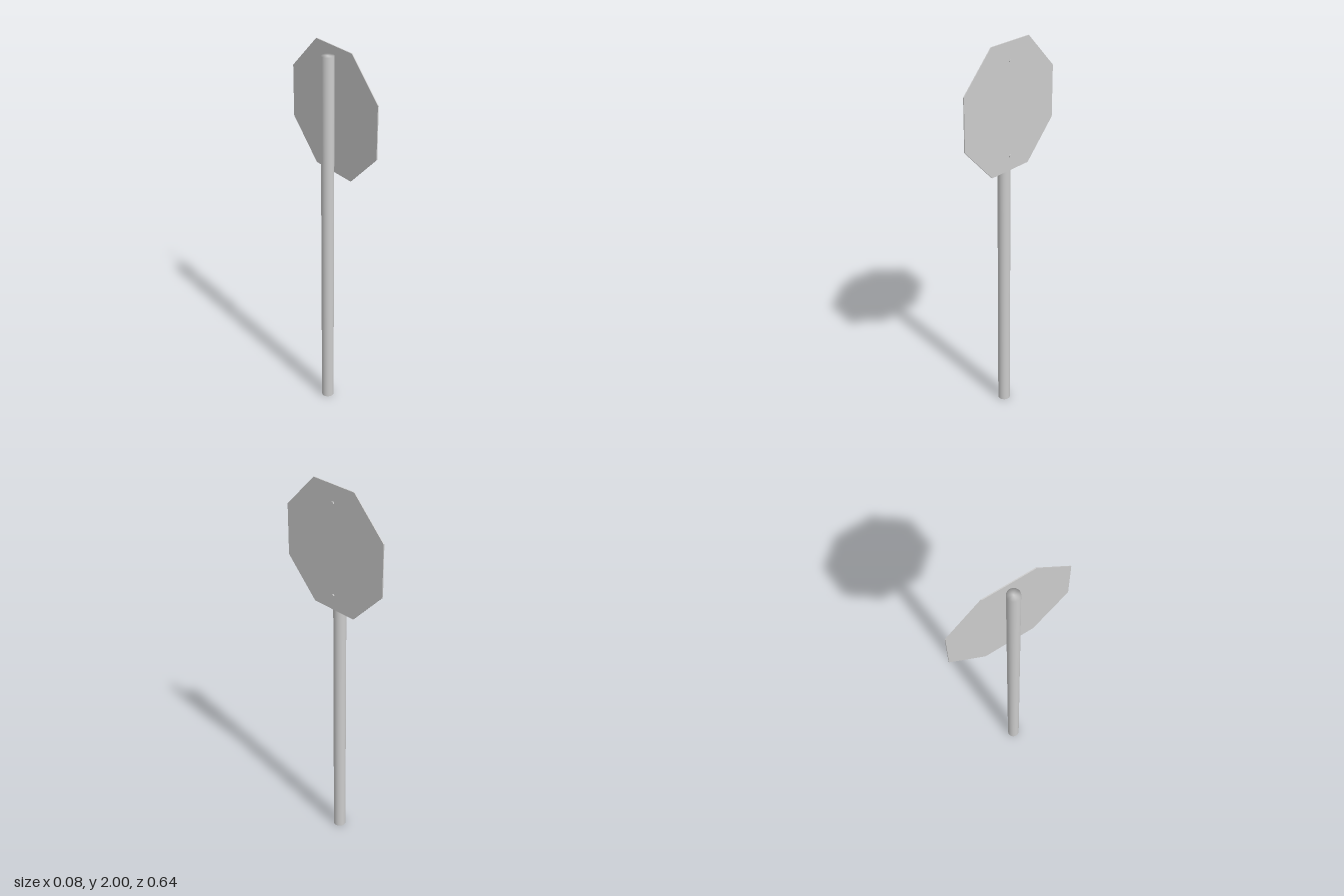
import * as THREE from 'three';
import { mergeVertices } from 'three/addons/utils/BufferGeometryUtils.js';

const material = new THREE.MeshStandardMaterial({ color: 0xcccccc });

function add(parent, name, geometry, x, y, z) {
  const mesh = new THREE.Mesh(geometry, material);
  mesh.name = name;
  mesh.position.set(x, y, z);
  parent.add(mesh);
  return mesh;
}

// Cylinder whose normals blend softly from the side into the end caps
function softCylinder(radius, height, sides) {
  const g = new THREE.CylinderGeometry(radius, radius, height, sides);
  g.deleteAttribute('normal');
  g.deleteAttribute('uv');
  const merged = mergeVertices(g, 1e-5);
  merged.computeVertexNormals();
  return merged;
}

export function createModel() {
  const model = new THREE.Group();
  model.name = 'roadSign';

  // Round post
  const postHeight = 1.96;
  add(model, 'post', softCylinder(0.032, postHeight, 32), -0.007, postHeight / 2, 0);

  // Thin octagonal plate standing beside the post, facing +x
  const half = 0.32, corner = 0.133, thickness = 0.005;
  const outline = [
    [corner, half], [-corner, half], [-half, corner], [-half, -corner],
    [-corner, -half], [corner, -half], [half, -corner], [half, corner],
  ].map(([x, y]) => new THREE.Vector2(x, y));
  const plate = new THREE.ExtrudeGeometry(new THREE.Shape(outline), { depth: thickness, bevelEnabled: false });
  plate.rotateY(Math.PI / 2);
  add(model, 'signPlate', plate, 0.028, 1.68, 0);

  // Two bolts: a shank into the post and a hexagonal head on the plate
  for (const [name, y] of [['upperBolt', 1.91], ['lowerBolt', 1.437]]) {
    const bolt = new THREE.Group();
    bolt.name = name;
    bolt.position.set(0, y, 0.004);
    const shank = new THREE.CylinderGeometry(0.004, 0.004, 0.02, 12).rotateZ(-Math.PI / 2);
    add(bolt, 'boltShank', shank, 0.024, 0, 0);
    const head = new THREE.CylinderGeometry(0.008, 0.008, 0.006, 6).toNonIndexed();
    head.computeVertexNormals();
    head.rotateZ(-Math.PI / 2);
    add(bolt, 'boltHead', head, 0.0355, 0, 0);
    model.add(bolt);
  }
  return model;
}
